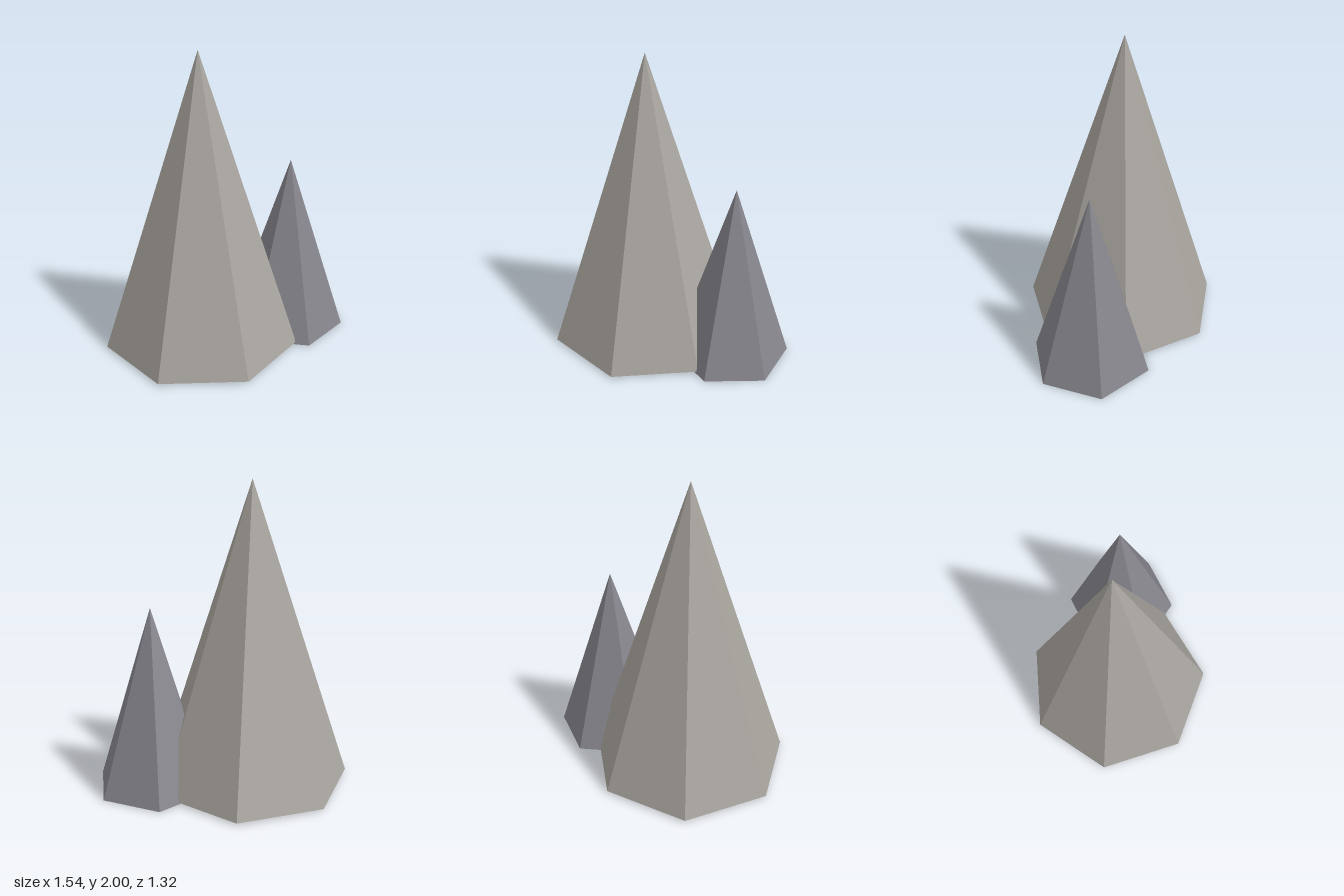
import * as THREE from 'three';

// Faceted cone with one base corner pointing along +x
function spike(name, sides, radius, base, top, x, z, color) {
  const height = top - base;
  const geometry = new THREE.ConeGeometry(radius, height, sides, 1, false, Math.PI / 2);
  const material = new THREE.MeshStandardMaterial({ color, flatShading: true });
  const mesh = new THREE.Mesh(geometry, material);
  mesh.name = name;
  mesh.position.set(x, base + height / 2, z);
  return mesh;
}

export function createModel() {
  const group = new THREE.Group();
  group.name = 'rockSpikes';
  // Tall seven-sided spike in warm grey
  group.add(spike('largeSpike', 7, 0.66, 0.013, 2, -0.18, 0.01, 0xa8a49e));
  // Short six-sided spike in cool grey, behind and to the left
  group.add(spike('smallSpike', 6, 0.396, 0, 1.213, 0.374, -0.32, 0x86858c));
  return group;
}
